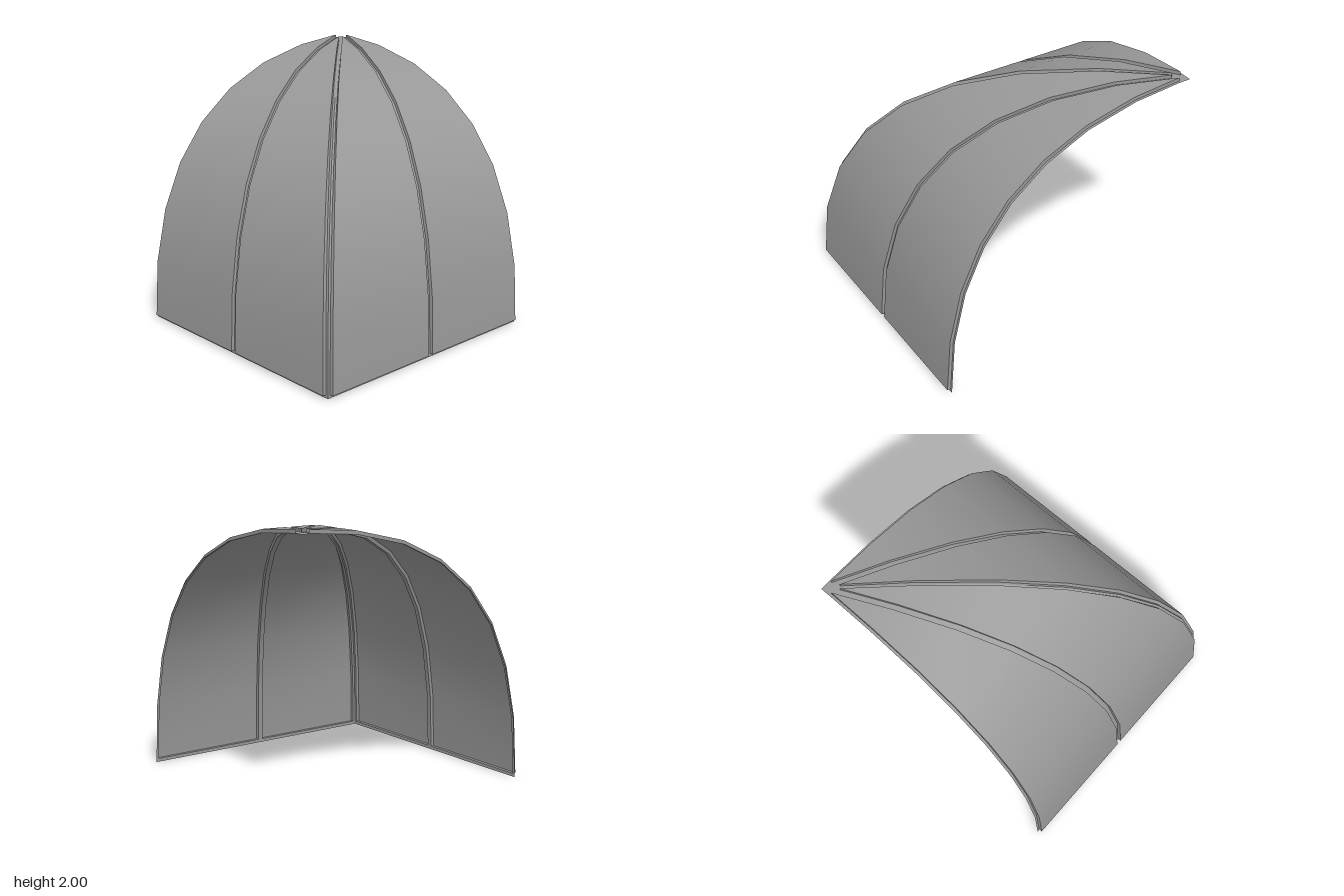
import * as THREE from 'three';
import { mergeGeometries } from 'three/addons/utils/BufferGeometryUtils.js';

const S = 1.973;        // span and height of the frame surface
const RAISE = 0.027;    // how far the panels stand out from the frame
const T0 = 0.0064, T_INNER = 0.9743, T_SIDE = 0.9795; // bottom and tip stations of the panels
const STATIONS = [0, T0, 1, 2, 3, 4, 5, 6, 7, T_INNER, T_SIDE, 1].map((t, i) => (i > 1 && i < 9 ? t / 8 : t));

// Parabolic arch: z and y at station t, pushed outwards along its normal
function arch(t, raise = 0) {
  const n = raise / Math.hypot(1 - t, t);
  return { z: -1 + S * (1 - t * t) + n * (1 - t), y: S * (2 * t - t * t) + n * t };
}

// Lines across the gore, giving x at depth z of the frame surface
const edge = () => -1;
const diagonal = z => z;
const edgeLine = z => Math.min(z, -0.98);
const sideLine = z => Math.min(z, Math.max(-0.98, -0.98 + (z + 0.92) * 0.4966));
const innerLine = z => Math.min(z, -0.92 + (z + 0.9) * 0.491);
const diagonalLine = z => Math.min(z, Math.max(innerLine(z), z - 0.021));

const stationsBetween = (t0, t1) => STATIONS.filter(t => t >= t0 && t <= t1);

function line(fn, stations, raise) {
  return stations.map(t => {
    const { z, y } = arch(t, raise);
    return [fn(arch(t).z), y, z];
  });
}

// Smooth strip between a left and a right line of points
function strip(left, right, swap) {
  const pos = [], index = [];
  left.forEach((p, i) => {
    for (const q of [p, right[i]]) pos.push(...(swap ? [q[2], q[1], q[0]] : q));
    const n = 2 * i;
    if (i && swap) index.push(n - 2, n + 1, n - 1, n - 2, n, n + 1);
    else if (i) index.push(n - 2, n - 1, n + 1, n - 2, n + 1, n);
  });
  const geo = new THREE.BufferGeometry();
  geo.setAttribute('position', new THREE.Float32BufferAttribute(pos, 3));
  geo.setIndex(index);
  geo.computeVertexNormals();
  return geo;
}

// One side of the vault; swap mirrors it across the diagonal
function createGore(name, swap, material) {
  const gore = new THREE.Group();
  gore.name = name;
  const add = (partName, geo) => {
    const mesh = new THREE.Mesh(geo, material);
    mesh.name = partName;
    gore.add(mesh);
  };

  // Raised panel: outer skin and four thin walls, open towards the inside
  const panel = (partName, a, b, tEnd) => {
    const ts = stationsBetween(T0, tEnd), last = ts.length - 1;
    const lowA = line(a, ts, 0), lowB = line(b, ts, 0);
    const topA = line(a, ts, RAISE), topB = line(b, ts, RAISE);
    add(partName, mergeGeometries([
      strip(topA, topB, swap),
      strip(lowA, topA, swap),
      strip(topB, lowB, swap),
      strip([lowA[0], topA[0]], [lowB[0], topB[0]], swap),
      strip([topA[last], lowA[last]], [topB[last], lowB[last]], swap),
    ]));
  };
  panel('edgePanel', edgeLine, sideLine, T_SIDE);
  panel('diagonalPanel', innerLine, diagonalLine, T_INNER);

  // Flat frame strips between the panels
  const frame = (partName, a, b, t0 = T0, t1 = 1) => {
    const ts = stationsBetween(t0, t1);
    add(partName, strip(line(a, ts, 0), line(b, ts, 0), swap));
  };
  frame('edgeRib', edge, edgeLine);
  frame('middleRib', sideLine, innerLine);
  frame('diagonalRib', diagonalLine, diagonal);
  frame('bottomRail', edge, diagonal, 0, T0);
  frame('apexPlate', edgeLine, sideLine, T_SIDE);
  return gore;
}

export function createModel() {
  const model = new THREE.Group();
  model.name = 'quarterVault';
  const material = new THREE.MeshStandardMaterial({ color: 0x999999, side: THREE.DoubleSide });
  model.add(createGore('frontGore', false, material), createGore('leftGore', true, material));
  return model;
}
